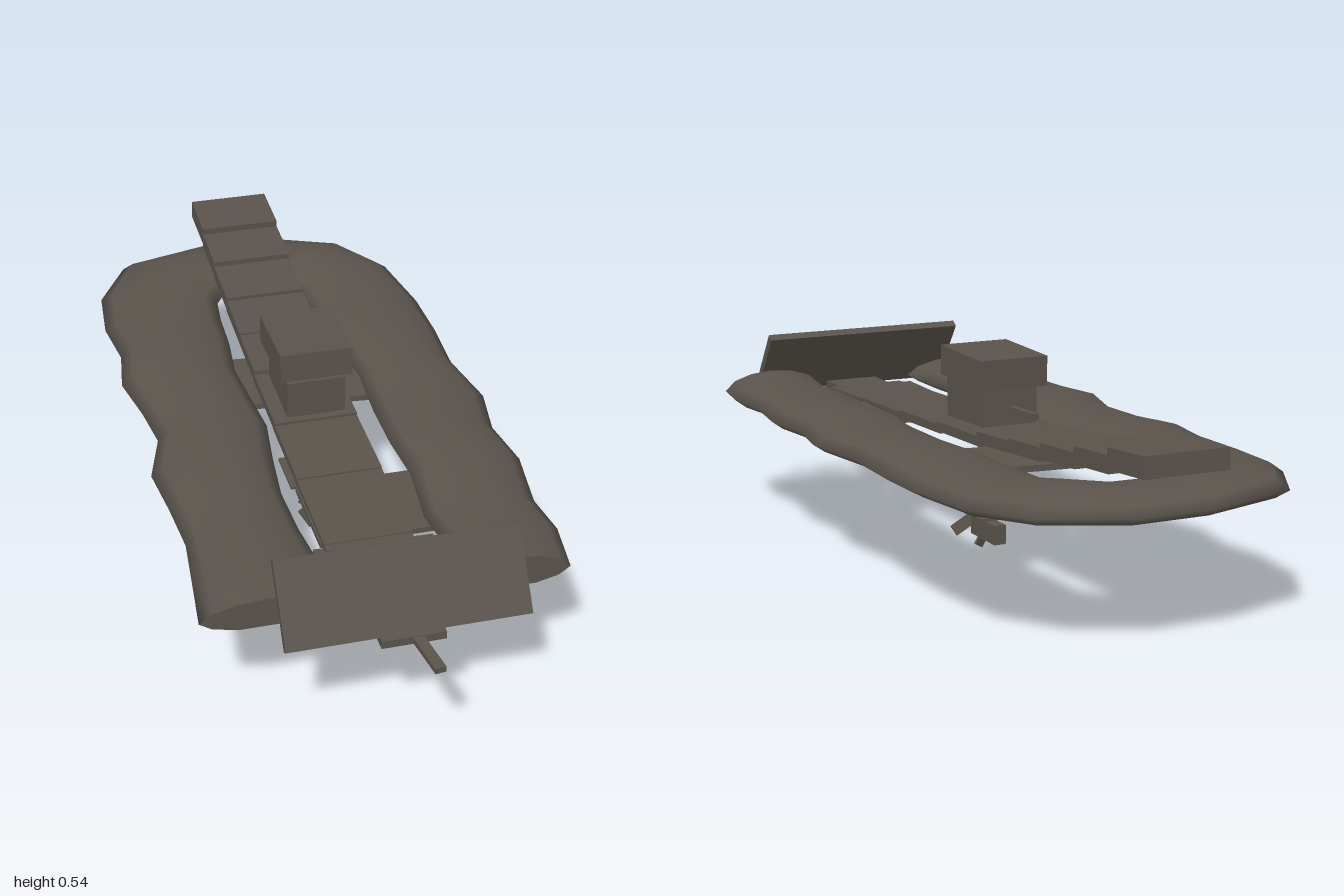
import * as THREE from 'three';

const hull = new THREE.MeshStandardMaterial({ color: 0x5a534c });
hull.name = 'weathered grey brown';

function box(parent, name, size, pos, rot = [0, 0, 0]) {
  const m = new THREE.Mesh(new THREE.BoxGeometry(...size), hull);
  m.name = name;
  m.position.set(...pos);
  m.rotation.set(...rot);
  parent.add(m);
  return m;
}

// U-shaped inflated tube: each station is outer x, outer z, inner x, inner z
const stations = [
  [-0.455, 0.745, -0.14, 0.745], [-0.44, 0.6, -0.14, 0.6], [-0.425, 0.45, -0.155, 0.45],
  [-0.435, 0.3, -0.16, 0.3], [-0.45, 0.15, -0.145, 0.15], [-0.405, 0, -0.125, 0],
  [-0.42, -0.13, -0.135, -0.13], [-0.447, -0.28, -0.145, -0.28], [-0.425, -0.42, -0.13, -0.42],
  [-0.442, -0.57, -0.125, -0.55], [-0.425, -0.74, -0.115, -0.64], [-0.335, -0.9, -0.09, -0.68],
  [-0.1, -0.97, -0.04, -0.7], [0.1, -0.97, 0.04, -0.7],
  [0.3, -0.875, 0.1, -0.67], [0.395, -0.73, 0.125, -0.63], [0.425, -0.52, 0.13, -0.5],
  [0.428, -0.35, 0.145, -0.35], [0.42, -0.18, 0.165, -0.18], [0.45, 0, 0.155, 0],
  [0.425, 0.15, 0.155, 0.15], [0.445, 0.3, 0.165, 0.3], [0.42, 0.48, 0.145, 0.48],
  [0.435, 0.6, 0.16, 0.6], [0.415, 0.745, 0.14, 0.745],
];
// cross-section: position from outer to inner edge, height
const section = [
  [0, 0.322], [0.1, 0.345], [0.28, 0.359], [0.5, 0.364], [0.72, 0.359], [0.9, 0.345],
  [1, 0.322], [0.9, 0.302], [0.7, 0.289], [0.3, 0.289], [0.1, 0.302],
];

function tubeGeometry() {
  const pos = [], idx = [], n = section.length, last = stations.length - 1;
  const ring = (i) => {
    const [ox, oz, ix, iz] = stations[i];
    const swell = 1 + 0.14 * Math.sin(i * 1.9);
    for (const [t, y] of section) {
      const h = y > 0.322 ? 0.322 + (y - 0.322) * swell : y;
      pos.push(ox + (ix - ox) * t, h, oz + (iz - oz) * t);
    }
  };
  stations.forEach((_, i) => ring(i));
  for (let i = 0; i < last; i++) {
    for (let j = 0; j < n; j++) {
      const a = i * n + j, b = i * n + (j + 1) % n;
      idx.push(a, b, a + n, b, b + n, a + n);
    }
  }
  // flat stern caps with their own corners
  for (const [i, flip] of [[0, true], [last, false]]) {
    const s = pos.length / 3;
    ring(i);
    for (let j = 1; j < n - 1; j++) {
      if (flip) idx.push(s, s + j + 1, s + j);
      else idx.push(s, s + j, s + j + 1);
    }
  }
  const g = new THREE.BufferGeometry();
  g.setAttribute('position', new THREE.Float32BufferAttribute(pos, 3));
  g.setIndex(idx);
  g.computeVertexNormals();
  return g;
}

export function createModel() {
  const boat = new THREE.Group();
  boat.name = 'inflatableBoat';

  const tube = new THREE.Mesh(tubeGeometry(), hull);
  tube.name = 'inflatedTube';
  boat.add(tube);

  // overlapping walkway planks rising to the bow: front z, back z, top y, thickness
  const planks = [
    [0.74, 0.5, 0.312, 0.02], [0.52, 0.24, 0.322, 0.02], [0.26, 0.01, 0.334, 0.022],
    [0.03, -0.21, 0.348, 0.025], [-0.2, -0.375, 0.368, 0.03], [-0.37, -0.535, 0.384, 0.034],
    [-0.53, -0.695, 0.405, 0.038], [-0.69, -0.845, 0.43, 0.042], [-0.84, -0.995, 0.458, 0.05],
  ];
  planks.forEach(([z0, z1, top, h], i) => {
    box(boat, 'walkwayPlank', [0.214, h, z0 - z1], [-0.004, top - h / 2, (z0 + z1) / 2], [i > 3 ? 0.07 : 0.03, 0, 0]);
  });

  // cross boards joining the two sides of the tube
  box(boat, 'crossBoard', [0.4, 0.016, 0.23], [0.01, 0.294, -0.24], [0, -0.1, 0]);
  box(boat, 'crossBoard', [0.29, 0.014, 0.24], [0.03, 0.301, 0.38]);
  box(boat, 'crossBoard', [0.29, 0.014, 0.22], [0.005, 0.298, 0.63], [0, -0.03, 0]);

  // leaning board across the stern, with bracket and handle
  box(boat, 'sternBoard', [0.57, 0.205, 0.022], [-0.002, 0.38, 0.798], [-0.62, 0, 0]);
  box(boat, 'sternBracket', [0.15, 0.02, 0.3], [0, 0.297, 0.735]);
  box(boat, 'sternHandle', [0.026, 0.014, 0.14], [0.016, 0.298, 0.93], [0, 0.14, 0]);

  // motor housing on the deck
  const motor = new THREE.Group();
  motor.name = 'motor';
  boat.add(motor);
  box(motor, 'motorBase', [0.15, 0.1, 0.2], [-0.003, 0.41, -0.07], [0.03, 0, 0]);
  box(motor, 'motorCover', [0.184, 0.075, 0.225], [-0.003, 0.499, -0.08], [-0.03, 0, 0]);
  box(motor, 'tillerHandle', [0.018, 0.014, 0.13], [-0.012, 0.403, -0.215], [0, 0.1, 0]);

  // leg, fin plate and gear case below the hull
  box(motor, 'motorLeg', [0.038, 0.24, 0.06], [-0.003, 0.23, -0.06]);
  box(motor, 'finPlate', [0.122, 0.007, 0.14], [-0.002, 0.118, -0.07]);
  box(motor, 'gearCase', [0.032, 0.05, 0.135], [0, 0.07, -0.058]);

  // three pitched propeller blades: centre x, y and turn
  for (const [x, y, turn] of [[-0.021, 0.102, 1.05], [0.037, 0.07, -0.5], [-0.021, 0.034, 2.08]]) {
    const blade = new THREE.Group();
    blade.name = 'propellerBlade';
    blade.position.set(x, y, 0.013);
    blade.rotation.z = turn;
    box(blade, 'bladePlate', [0.06, 0.03, 0.006], [0, 0, 0], [0.35, 0, 0]);
    motor.add(blade);
  }
  return boat;
}
